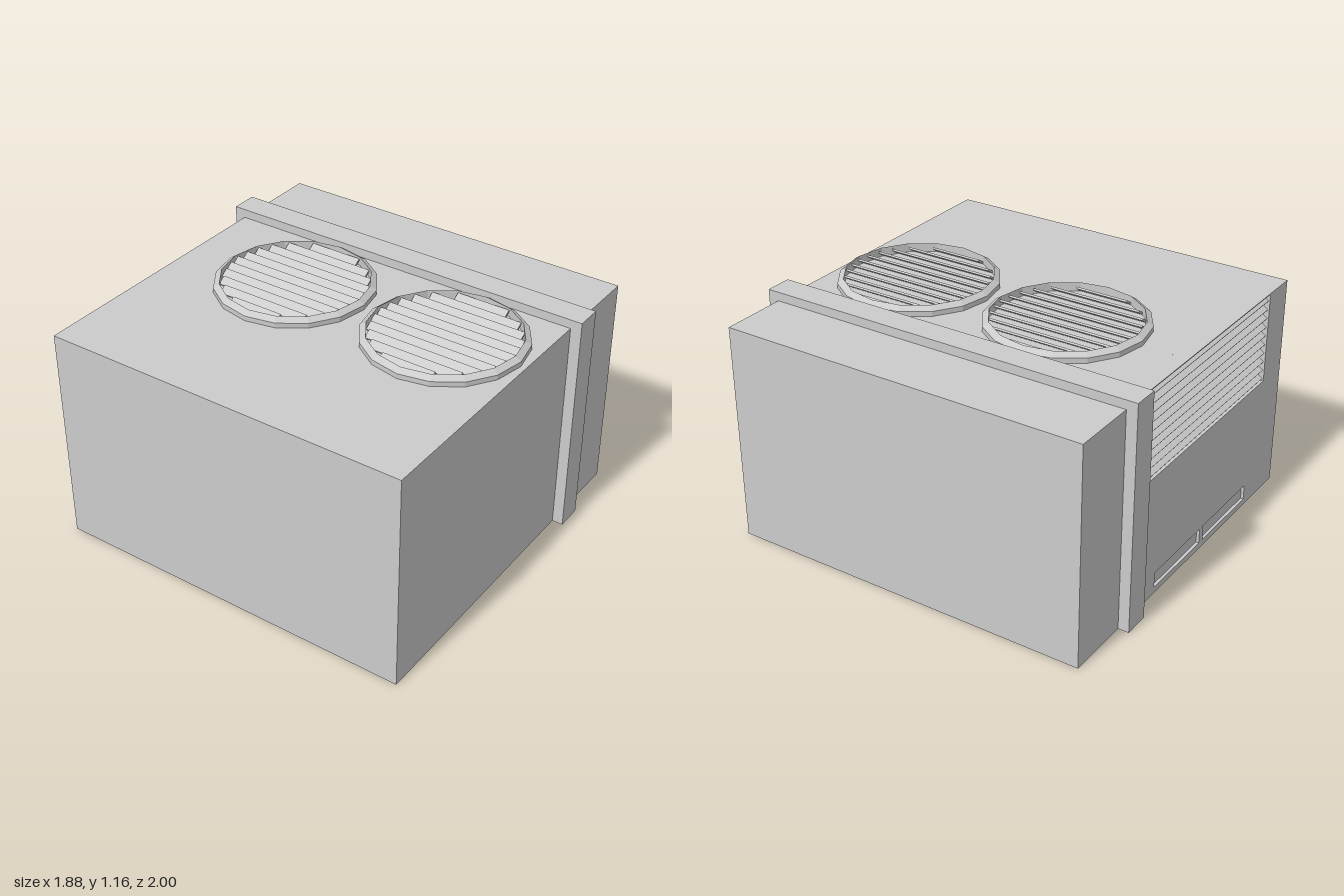
import * as THREE from 'three';

const grey = new THREE.MeshStandardMaterial({ color: 0xcccccc, flatShading: true });

export function createModel() {
  const model = new THREE.Group();

  const add = (name, geometry, parent = model) => {
    const mesh = new THREE.Mesh(geometry, grey);
    mesh.name = name;
    parent.add(mesh);
    return mesh;
  };
  // Box given by its minimum and maximum corners
  const box = (name, [x0, y0, z0], [x1, y1, z1], parent) => {
    const mesh = add(name, new THREE.BoxGeometry(x1 - x0, y1 - y0, z1 - z0), parent);
    mesh.position.set((x0 + x1) / 2, (y0 + y1) / 2, (z0 + z1) / 2);
    return mesh;
  };
  const rectangle = (Type, x0, y0, x1, y1) => new Type([
    new THREE.Vector2(x0, y0), new THREE.Vector2(x1, y0),
    new THREE.Vector2(x1, y1), new THREE.Vector2(x0, y1),
  ]);

  const W = 0.94, H = 1.12, D = 0.945, recess = 0.08;

  // Cabinet, with its back wall pierced for the louvre and two small panels
  box('cabinet', [-W, 0, -D + recess], [W, H, D]);
  const louvre = [-0.756, 0.65, 0.465, 1.115];
  const panels = [[-0.633, 0.033, -0.196, 0.113], [-0.16, 0.033, 0.276, 0.113]];
  const wall = rectangle(THREE.Shape, -W, 0, W, H);
  for (const r of [louvre, ...panels]) wall.holes.push(rectangle(THREE.Path, ...r));
  add('backWall', new THREE.ExtrudeGeometry(wall, { depth: recess, bevelEnabled: false }))
    .position.z = -D;
  for (const [x0, y0, x1, y1] of panels) {
    box('recessedPanel', [x0, y0, -D + 0.015], [x1, y1, -D + recess]);
  }

  // Strap over the cabinet
  box('strap', [0.465, 0, -1], [0.6, 1.165, 1]);

  // Pointed drip rails on front and back
  const rail = new THREE.Shape([
    new THREE.Vector2(0, 0.145), new THREE.Vector2(0.027, 0.163), new THREE.Vector2(0, 0.18),
  ]);
  for (const side of [-1, 1]) {
    const mesh = add(side > 0 ? 'frontRail' : 'backRail',
      new THREE.ExtrudeGeometry(rail, { depth: 2 * W, bevelEnabled: false }));
    mesh.rotation.y = -side * Math.PI / 2;
    mesh.rotation.y += Math.PI;
    mesh.position.set(-side * W, 0, side * D);
  }

  // Sloping slats of the back louvre
  const backLouvre = new THREE.Group();
  backLouvre.name = 'backLouvre';
  model.add(backLouvre);
  const rows = 10, pitch = (louvre[3] - louvre[1]) / rows;
  for (let i = 0; i < rows; i++) {
    const y = louvre[1] + (i + 0.5) * pitch;
    const slat = box('louvreSlat', [louvre[0], y - 0.005, -D + 0.005],
      [louvre[2], y + 0.005, -D + 0.061], backLouvre);
    slat.rotation.x = -0.6;
  }

  // Two fan outlets with bevelled rims and tilted slats
  const rim = [[0.395, 0], [0.395, 0.025], [0.365, 0.045], [0.365, 0]]
    .map(([r, y]) => new THREE.Vector2(r, y));
  for (const z of [-0.317, 0.523]) {
    const fan = new THREE.Group();
    fan.name = 'fanOutlet';
    fan.position.set(0.057, H, z);
    model.add(fan);
    add('fanRim', new THREE.LatheGeometry(rim, 16), fan);
    for (let i = -5; i <= 5; i++) {
      const x = i * 0.0635;
      const half = Math.sqrt(0.36 ** 2 - (Math.abs(x) + 0.015) ** 2);
      const slat = box('fanSlat', [x - 0.023, 0.015, -half], [x + 0.023, 0.025, half], fan);
      slat.rotation.z = 0.6;
    }
  }

  return model;
}
